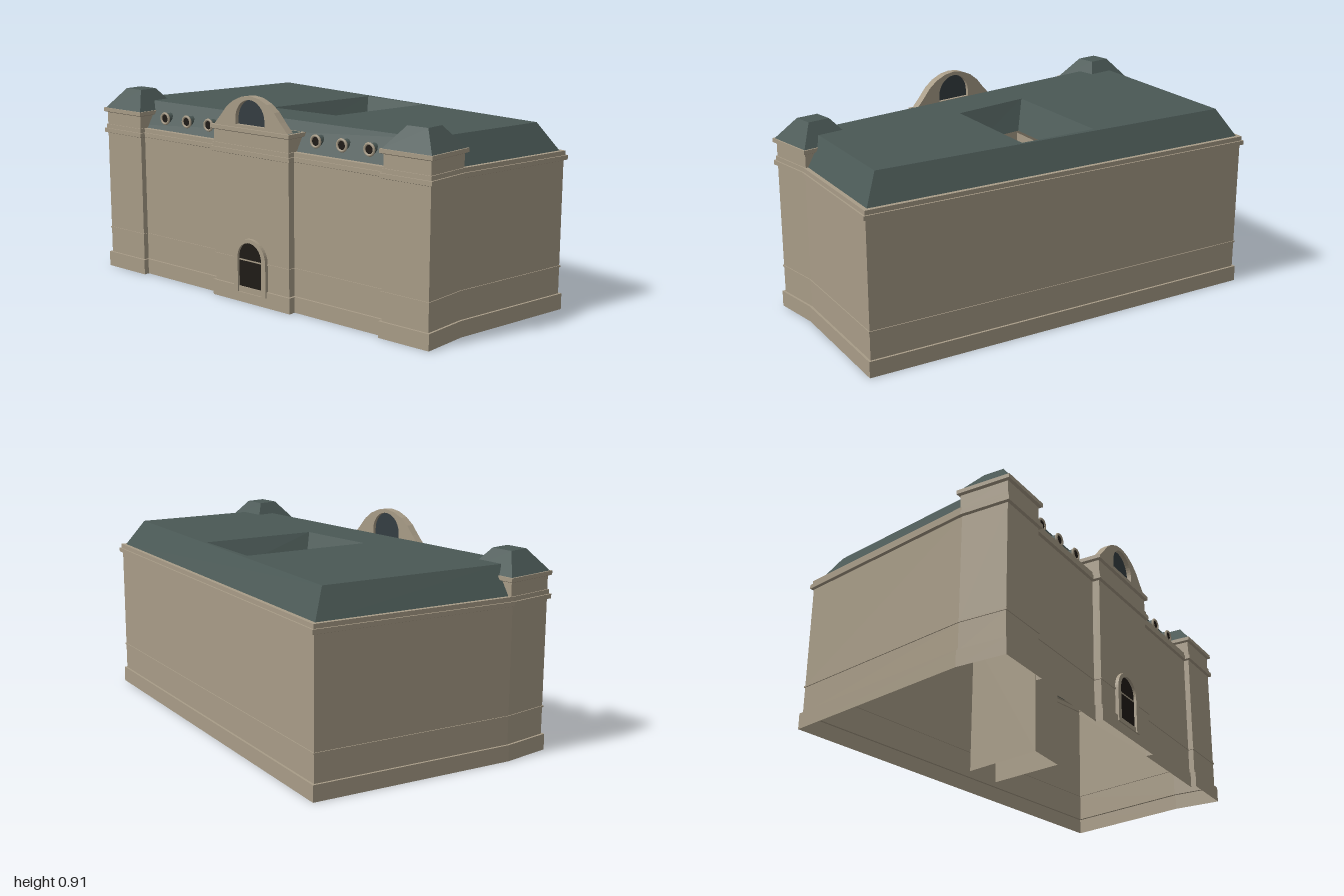
import * as THREE from 'three';

const stone = new THREE.MeshStandardMaterial({ color: 0xa89c87, side: THREE.DoubleSide });
const slate = new THREE.MeshStandardMaterial({ color: 0x4a5855, side: THREE.DoubleSide });
const dark = new THREE.MeshStandardMaterial({ color: 0x1f1b17, side: THREE.DoubleSide });
const glass = new THREE.MeshStandardMaterial({ color: 0x343d42, side: THREE.DoubleSide });

// Slanted entrance facade: u runs along it, v runs into the building
const L = 1.877, D = [0.325, 0.946];
const P = (u, v) => [-0.7 + u * D[0] + v * D[1], -0.795 + u * D[1] - v * D[0]];
const BACK = [0.395, -0.988], FRONT = [0.695, 0.825];

// Move every edge of a plan outwards by d, with mitred corners
function offset(plan, d) {
  const n = plan.length;
  const normal = (a, b) => {
    const x = b[0] - a[0], z = b[1] - a[1], l = Math.hypot(x, z);
    return [z / l, -x / l];
  };
  return plan.map((p, i) => {
    const m = normal(plan[(i + n - 1) % n], p), k = normal(p, plan[(i + 1) % n]);
    const s = d / (1 + m[0] * k[0] + m[1] * k[1]);
    return [p[0] + (m[0] + k[0]) * s, p[1] + (m[1] + k[1]) * s];
  });
}

// Flat-sided skin through a stack of plans, each [plan, height]
function loft(name, material, rings) {
  const pos = [];
  for (let r = 0; r + 1 < rings.length; r++) {
    const [lo, y0] = rings[r], [hi, y1] = rings[r + 1];
    lo.forEach((a, i) => {
      const j = (i + 1) % lo.length, b = lo[j], c = hi[i], e = hi[j];
      pos.push(a[0], y0, a[1], c[0], y1, c[1], b[0], y0, b[1]);
      pos.push(b[0], y0, b[1], c[0], y1, c[1], e[0], y1, e[1]);
    });
  }
  const g = new THREE.BufferGeometry();
  g.setAttribute('position', new THREE.Float32BufferAttribute(pos, 3));
  g.computeVertexNormals();
  return mesh(name, g, material);
}

const profile = (name, material, plan, steps) =>
  loft(name, material, steps.map(([d, y]) => [offset(plan, d), y]));

// Horizontal surface over a plan, with an optional opening
function deck(name, material, plan, y, hole) {
  const pts = q => q.map(([x, z]) => new THREE.Vector2(x, -z));
  const s = new THREE.Shape(pts(plan));
  if (hole) s.holes.push(new THREE.Path(pts(hole)));
  const m = mesh(name, new THREE.ShapeGeometry(s).rotateX(-Math.PI / 2), material);
  m.position.y = y;
  return m;
}

function mesh(name, geometry, material) {
  const m = new THREE.Mesh(geometry, material);
  m.name = name;
  return m;
}

// Round-headed opening: half width w, from y0 to the springing at y1
function arch(Type, w, y0, y1) {
  const s = new Type();
  s.moveTo(-w, y0);
  s.lineTo(w, y0);
  s.lineTo(w, y1);
  s.absarc(0, y1, w, 0, Math.PI, false);
  s.lineTo(-w, y0);
  return s;
}

const extrude = (shape, depth) =>
  new THREE.ExtrudeGeometry(shape, { depth, bevelEnabled: false, curveSegments: 12 });

export function createModel() {
  const model = new THREE.Group();
  model.name = 'building';

  // Outer walls with plinth, string course and cornice
  const T = 0.23, R = 0.025, M0 = 0.72, M1 = 1.157, MV = -0.008;
  const walls = [P(0, 0), P(0, 0.21), BACK, FRONT, P(L, 0.21), P(L, 0), P(L - T, 0), P(L - T, R),
    P(M1, R), P(M1, MV), P(M0, MV), P(M0, R), P(T, R), P(T, 0)];
  model.add(profile('walls', stone, walls, [
    [0.01, 0], [0.01, 0.07], [0, 0.07], [0, 0.187], [0.004, 0.187], [0.004, 0.194], [0, 0.194],
    [0, 0.65], [0.012, 0.654], [0.012, 0.673], [0.005, 0.673], [0.005, 0.692], [-0.03, 0.692]]));

  // Main roof with a sloped opening over the courtyard
  const eaves = [P(0, 0.03), P(0, 0.21), BACK, FRONT, P(L, 0.21), P(L, 0.03)];
  const wellTop = [[-0.155, -0.165], [0.41, -0.255], [0.48, 0.1], [-0.03, 0.18]];
  const wellLow = [[-0.06, -0.11], [0.35, -0.175], [0.4, 0.03], [0.015, 0.1]];
  const yard = offset(wellLow, -0.014);
  model.add(profile('roofSlopes', slate, eaves, [[-0.012, 0.69], [-0.082, 0.81]]));
  model.add(deck('roofTop', slate, offset(eaves, -0.082), 0.81, wellTop));
  model.add(loft('courtyardRoof', slate, [[wellTop, 0.81], [wellLow, 0.69]]));
  model.add(loft('courtyardWalls', stone, [
    [offset(yard, -0.006), 0.69], [offset(yard, -0.006), 0.655], [yard, 0.655], [yard, 0]]));

  // Attic storeys: a tower at each end and the entrance bay between
  const attic = [[0, 0.69], [0, 0.748], [0.012, 0.753], [0.012, 0.77], [0, 0.77]];
  for (const u of [0, L - T]) {
    const plan = [P(u, 0), P(u, 0.22), P(u + T, 0.22), P(u + T, 0)];
    const tower = new THREE.Group();
    tower.name = 'cornerTower';
    tower.add(profile('towerAttic', stone, plan, attic));
    tower.add(profile('towerRoof', slate, plan, [[0.005, 0.77], [-0.065, 0.86]]));
    tower.add(deck('towerRoofTop', slate, offset(plan, -0.065), 0.86));
    model.add(tower);
  }
  const bay = [P(M0, MV), P(M0, 0.075), P(M1, 0.075), P(M1, MV)];
  model.add(profile('entranceAttic', stone, bay, attic));
  model.add(deck('entranceRoof', slate, bay, 0.771));

  // Facade details, in a frame whose x follows the facade and z faces out
  const facade = new THREE.Group();
  facade.name = 'facadeDetails';
  const mid = P(L / 2, 0);
  facade.position.set(mid[0], 0, mid[1]);
  facade.rotation.y = -Math.atan2(D[1], D[0]);
  model.add(facade);
  const place = (m, x, y, z) => {
    m.position.set(x, y, z);
    facade.add(m);
  };

  // Curved gable with an arched window
  const half = [[0.215, 0.77], [0.175, 0.812], [0.14, 0.852], [0.1, 0.882], [0.05, 0.903]];
  const outline = [...half, [0, 0.91], ...half.map(([x, y]) => [-x, y]).reverse()];
  const gable = new THREE.Shape(outline.map(([x, y]) => new THREE.Vector2(x, y)));
  gable.holes.push(arch(THREE.Path, 0.085, 0.782, 0.808));
  place(mesh('gable', extrude(gable, 0.035), stone), 0, 0, -0.025);
  place(mesh('gableWindow', new THREE.ShapeGeometry(arch(THREE.Shape, 0.087, 0.78, 0.808)), glass), 0, 0, -0.01);

  // Arched doorway
  const frame = arch(THREE.Shape, 0.095, 0.045, 0.195);
  frame.holes.push(arch(THREE.Path, 0.07, 0.046, 0.203));
  place(mesh('doorFrame', extrude(frame, 0.016), stone), 0, 0, 0.008);
  place(mesh('door', new THREE.ShapeGeometry(arch(THREE.Shape, 0.071, 0.07, 0.203)), dark), 0, 0, 0.012);

  // Round dormers, three on each side of the entrance
  for (const side of [-1, 1]) for (const x of [0.315, 0.455, 0.597]) {
    const body = new THREE.CylinderGeometry(0.024, 0.024, 0.05, 12).rotateX(Math.PI / 2);
    place(mesh('dormer', body, slate), side * x, 0.745, -0.077);
    place(mesh('dormerRim', new THREE.TorusGeometry(0.024, 0.006, 6, 14), stone), side * x, 0.745, -0.052);
    place(mesh('dormerWindow', new THREE.CircleGeometry(0.022, 12), dark), side * x, 0.745, -0.051);
  }
  return model;
}
